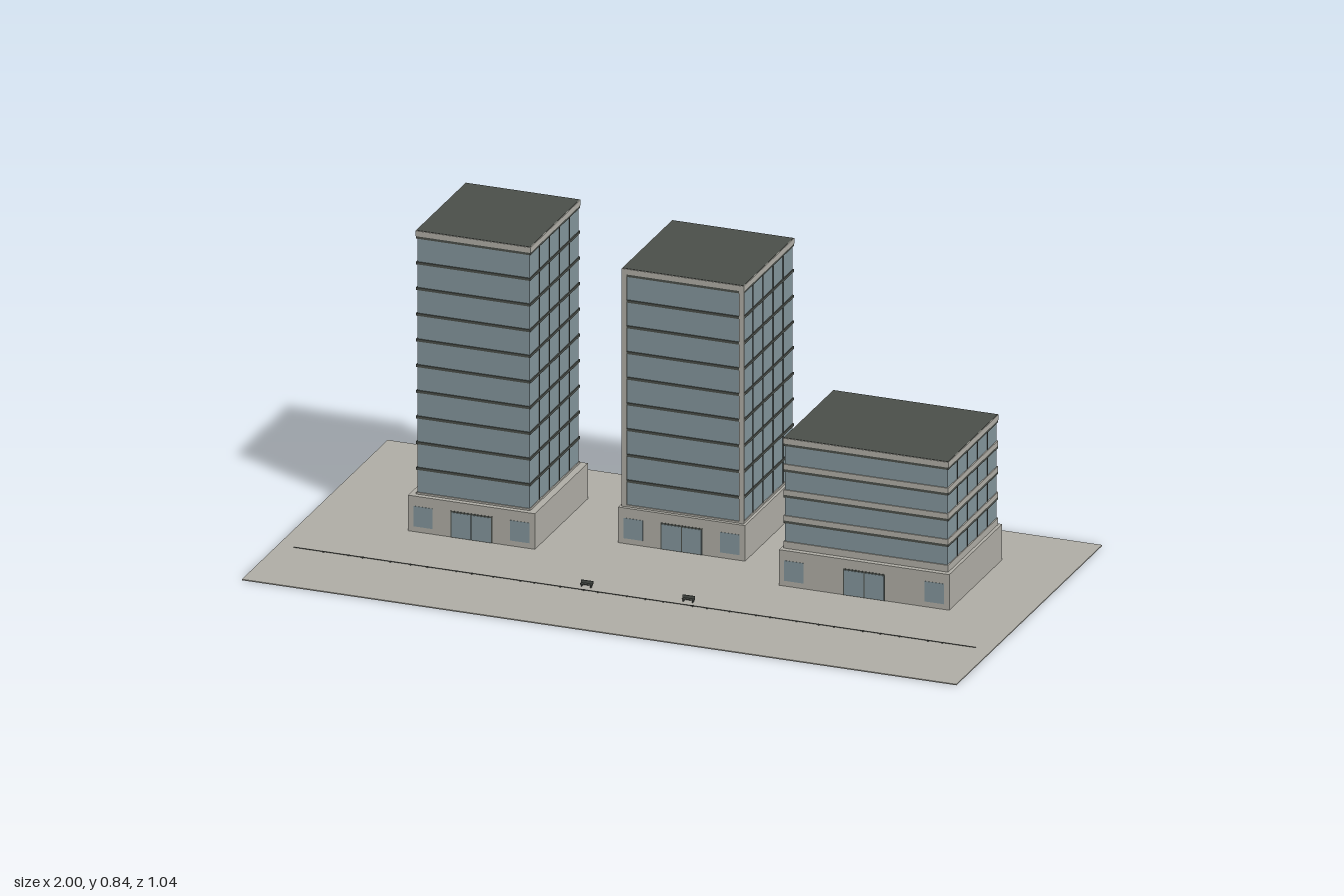
import * as THREE from 'three';

const mat = (name, color, extra = {}) => {
  const m = new THREE.MeshStandardMaterial({ color, ...extra });
  m.name = name;
  return m;
};

export function createModel() {
  const concrete = mat('concrete', 0xaeaca4);
  const glass = mat('glass', 0x82949a);
  const dark = mat('darkMetal', 0x4a4e49);
  const model = new THREE.Group();
  model.name = 'officeBlocks';

  // Box given by its lower and upper limits on each axis
  const box = (parent, name, material, x0, x1, y0, y1, z0, z1) => {
    const mesh = new THREE.Mesh(new THREE.BoxGeometry(x1 - x0, y1 - y0, z1 - z0), material);
    mesh.position.set((x0 + x1) / 2, (y0 + y1) / 2, (z0 + z1) / 2);
    mesh.name = name;
    parent.add(mesh);
    return mesh;
  };

  box(model, 'plaza', concrete, -1, 1, 0, 0.003, -0.52, 0.52);

  const storey = 0.0722;
  const groundTop = 0.103;

  const building = ({ name, podium, tower, top, floors, columns, spandrels, frame }) => {
    const g = new THREE.Group();
    g.name = name;
    model.add(g);
    const [px0, px1, pz0, pz1] = podium;
    const [x0, x1, z0, z1] = tower;
    const cx = (px0 + px1) / 2;

    // Ground floor with entrance and two display windows
    box(g, 'podium', concrete, px0, px1, 0.003, groundTop, pz0, pz1);
    const face = pz1 + 0.001;
    box(g, 'doorFrame', dark, cx - 0.059, cx + 0.059, 0.003, 0.077, pz1 - 0.004, face);
    for (const s of [-1, 1]) {
      const mid = cx + s * 0.0285;
      box(g, 'doorGlass', glass, mid - 0.027, mid + 0.027, 0.004, 0.073, pz1 - 0.003, face + 0.001);
      const wx = s < 0 ? px0 + 0.042 : px1 - 0.042;
      box(g, 'shopWindow', glass, wx - 0.027, wx + 0.027, 0.018, 0.075, pz1 - 0.003, face);
    }

    // Glazed body and roof
    const e = 0.003;
    box(g, 'glazedBody', glass, x0 + e, x1 - e, groundTop, top - 0.008, z0 + e, z1 - e);
    box(g, 'roofSlab', concrete, x0 - 0.001, x1 + 0.001, top - 0.016, top - 0.001, z0 - 0.001, z1 + 0.001);
    box(g, 'roofCovering', dark, x0 + 0.001, x1 - 0.001, top - 0.002, top, z0 + 0.001, z1 - 0.001);
    box(g, 'baseTrim', concrete, x0, x1, groundTop, 0.108, z0, z1);

    // Floor bands, with light spandrels on the low block
    for (let i = 0; i < floors; i++) {
      const y = top - 0.016 - i * storey;
      box(g, 'floorBand', dark, x0, x1, y - 0.007, y, z0, z1);
      if (spandrels && i > 0) box(g, 'spandrel', concrete, x0, x1, y, y + 0.014, z0, z1);
    }
    if (spandrels) box(g, 'spandrel', concrete, x0, x1, 0.108, 0.122, z0, z1);

    // Slender mullions on the sides and back
    const w = 0.0009;
    for (let i = 1; i < columns; i++) {
      const x = x0 + (x1 - x0) * i / columns;
      box(g, 'backMullion', dark, x - w, x + w, 0.108, top - 0.016, z0 + 0.001, z0 + 0.006);
    }
    for (let i = 1; i < 5; i++) {
      const z = z0 + (z1 - z0) * i / 5;
      box(g, 'sideMullion', dark, x0 + 0.001, x0 + 0.006, 0.108, top - 0.016, z - w, z + w);
      box(g, 'sideMullion', dark, x1 - 0.006, x1 - 0.001, 0.108, top - 0.016, z - w, z + w);
    }

    // Light posts on the front corners
    if (frame) {
      box(g, 'frontPost', concrete, x0 - 0.001, x0 + 0.012, groundTop, top - 0.012, z1 - 0.004, z1 + 0.001);
      box(g, 'frontPost', concrete, x1 - 0.012, x1 + 0.001, groundTop, top - 0.012, z1 - 0.004, z1 + 0.001);
    }
  };

  building({
    name: 'tallTower', podium: [-0.72, -0.365, -0.33, 0.048], tower: [-0.704, -0.384, -0.324, 0.033],
    top: 0.844, floors: 10, columns: 5,
  });
  building({
    name: 'middleTower', podium: [-0.18, 0.175, -0.449, -0.075], tower: [-0.173, 0.167, -0.444, -0.085],
    top: 0.772, floors: 9, columns: 5, frame: true,
  });
  building({
    name: 'lowBlock', podium: [0.318, 0.795, -0.33, 0.048], tower: [0.325, 0.786, -0.324, 0.033],
    top: 0.413, floors: 4, columns: 6, spandrels: true,
  });

  // Street edge with small studs
  box(model, 'kerbLine', dark, -0.955, 0.955, 0.003, 0.0045, 0.2645, 0.2655);
  for (let i = 0; i < 30; i++) {
    const x = -0.87 + i * 0.06 + 0.012 * Math.sin(i * 2.3);
    box(model, 'kerbStud', dark, x - 0.002, x + 0.002, 0.003, 0.006, 0.266, 0.27);
  }

  // Two benches facing the street
  for (const x of [-0.145, 0.14]) {
    const bench = new THREE.Group();
    bench.name = 'bench';
    model.add(bench);
    box(bench, 'benchSeat', dark, x - 0.017, x + 0.017, 0.009, 0.011, 0.236, 0.245);
    box(bench, 'benchBack', dark, x - 0.017, x + 0.017, 0.011, 0.019, 0.235, 0.237);
    for (const s of [-1, 1]) {
      box(bench, 'benchLeg', dark, x + s * 0.013 - 0.0015, x + s * 0.013 + 0.0015, 0.003, 0.009, 0.237, 0.244);
    }
  }
  return model;
}
